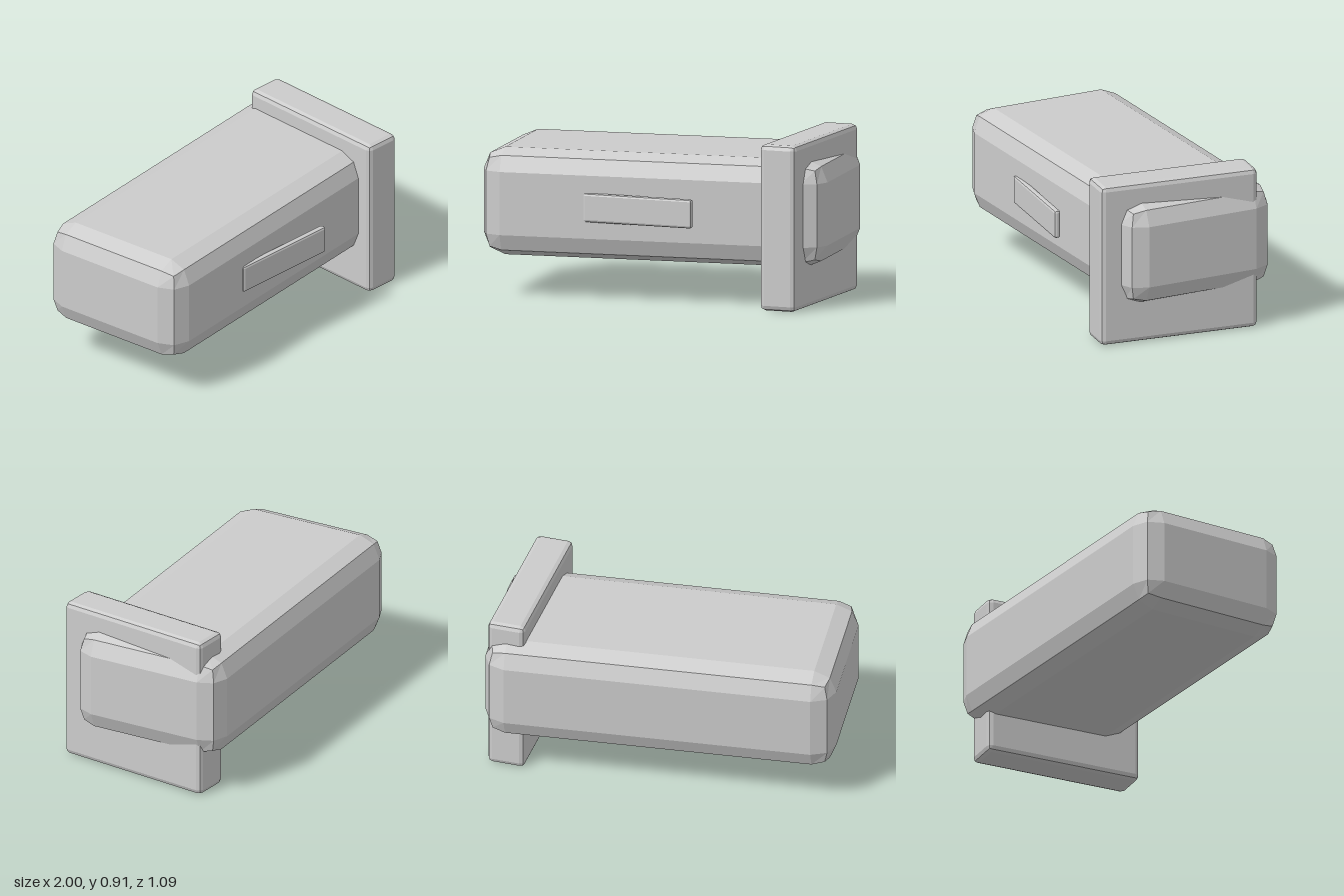
import * as THREE from 'three';
import { RoundedBoxGeometry } from 'three/addons/geometries/RoundedBoxGeometry.js';

export function createModel() {
  const model = new THREE.Group();
  const grey = new THREE.MeshStandardMaterial({ color: 0xcccccc, flatShading: true });
  grey.name = 'lightGrey';

  // Box whose edges carry a two-step bevel
  function bevelledBox(name, size, centre, bevel) {
    const mesh = new THREE.Mesh(new RoundedBoxGeometry(...size, 1, bevel), grey);
    mesh.name = name;
    mesh.position.set(...centre);
    model.add(mesh);
    return mesh;
  }

  // Main block, turned slightly about the vertical axis
  const body = bevelledBox('body', [1.934, 0.59, 0.9], [0, 0.515, 0], 0.122);
  body.rotation.y = 0.1186;

  // Upright slab that the left end of the body passes through
  bevelledBox('endPlate', [0.21, 0.91, 0.91], [0.803, 0.457, 0], 0.028);

  // Straight bar, one end sunk into the front of the body
  bevelledBox('frontBar', [0.635, 0.158, 0.036], [0, 0.513, 0.482], 0.013);

  return model;
}
